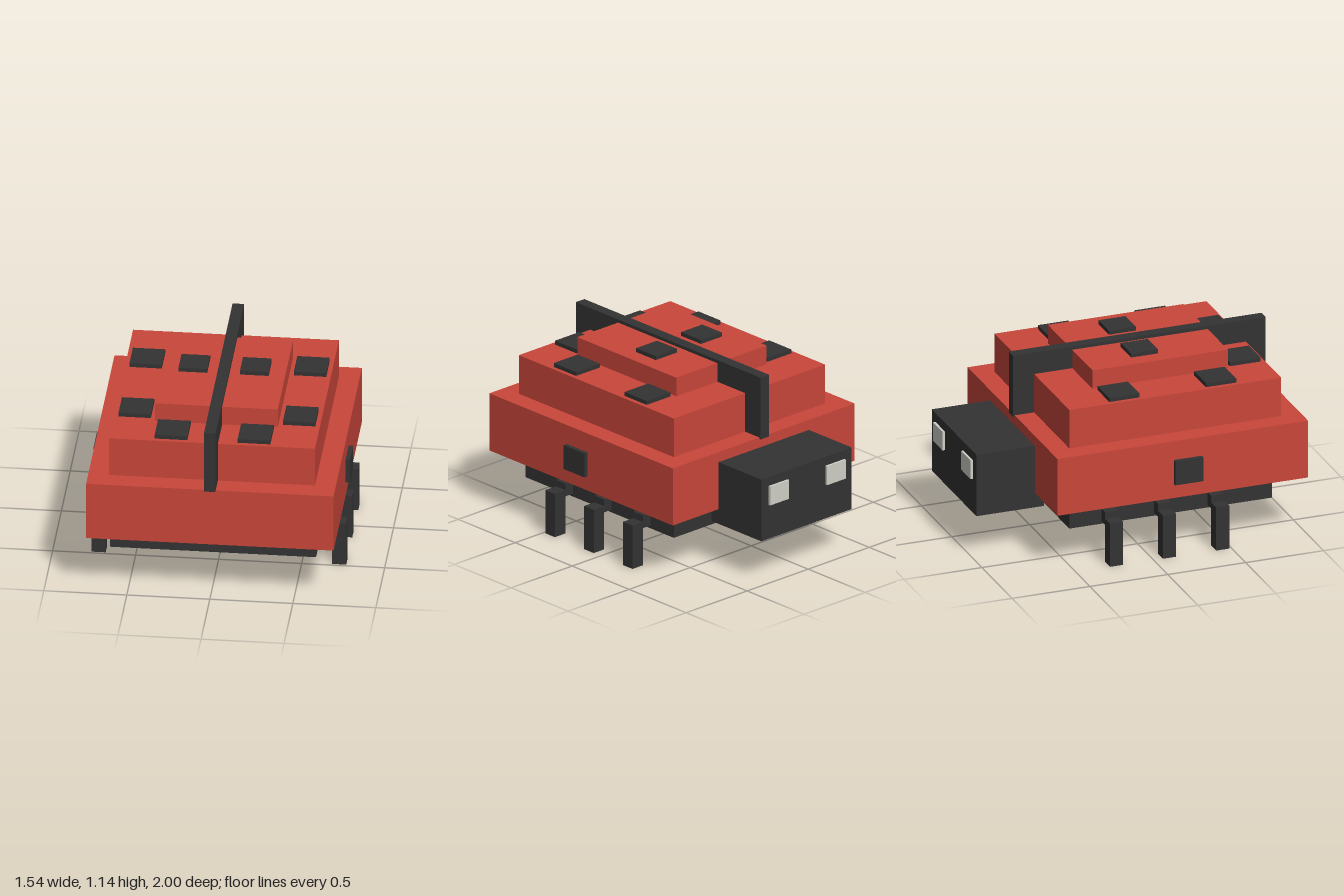
import * as THREE from 'three';

const material = (name, color) => {
  const m = new THREE.MeshStandardMaterial({ color });
  m.name = name;
  return m;
};

export function createModel() {
  const model = new THREE.Group();
  const red = material('shell red', 0xc9463a);
  const dark = material('charcoal', 0x333333);
  const pale = material('eye pale grey', 0xd0d0c8);

  // Box given by its extents along each axis
  const box = (name, mat, [x0, x1], [y0, y1], [z0, z1]) => {
    const mesh = new THREE.Mesh(new THREE.BoxGeometry(x1 - x0, y1 - y0, z1 - z0), mat);
    mesh.position.set((x0 + x1) / 2, (y0 + y1) / 2, (z0 + z1) / 2);
    mesh.name = name;
    model.add(mesh);
  };
  // Mirrored pair of boxes
  const pair = (name, mat, [x0, x1], y, z) => {
    box(name + 'Left', mat, [x0, x1], y, z);
    box(name + 'Right', mat, [-x1, -x0], y, z);
  };

  // Stepped shell
  box('lowerShell', red, [-0.745, 0.745], [0.375, 0.745], [-0.61, 1]);
  box('middleShell', red, [-0.62, 0.62], [0.745, 0.995], [-0.485, 0.875]);
  box('upperShell', red, [-0.37, 0.37], [0.995, 1.115], [-0.24, 0.63]);

  // Ridge between the wing cases, belly and head
  box('wingDivider', dark, [-0.035, 0.035], [0.735, 1.135], [-0.62, 1.002]);
  box('belly', dark, [-0.62, 0.62], [0.222, 0.375], [-0.485, 0.815]);
  box('head', dark, [-0.37, 0.37], [0.28, 0.68], [-0.985, -0.55]);
  pair('eye', pale, [0.155, 0.31], [0.5, 0.622], [-1, -0.985]);

  // Spots: centre x, centre z, size, base and top height
  for (const [x, z, s, y0, y1] of [
    [0.495, -0.12, 0.195, 0.99, 1.02],
    [0.495, 0.5, 0.195, 0.99, 1.02],
    [0.25, 0.75, 0.197, 0.99, 1.02],
    [0.185, 0.133, 0.173, 1.11, 1.14],
  ]) pair('topSpot', dark, [x - s / 2, x + s / 2], [y0, y1], [z - s / 2, z + s / 2]);
  pair('sideSpot', dark, [0.74, 0.772], [0.468, 0.623], [0.137, 0.318]);

  // Three legs on each side
  for (const z of [-0.238, 0.102, 0.443]) {
    const depth = [z - 0.042, z + 0.042];
    pair('upperLeg', dark, [0.6, 0.682], [0.24, 0.323], depth);
    pair('lowerLeg', dark, [0.682, 0.767], [0, 0.28], depth);
  }
  return model;
}
